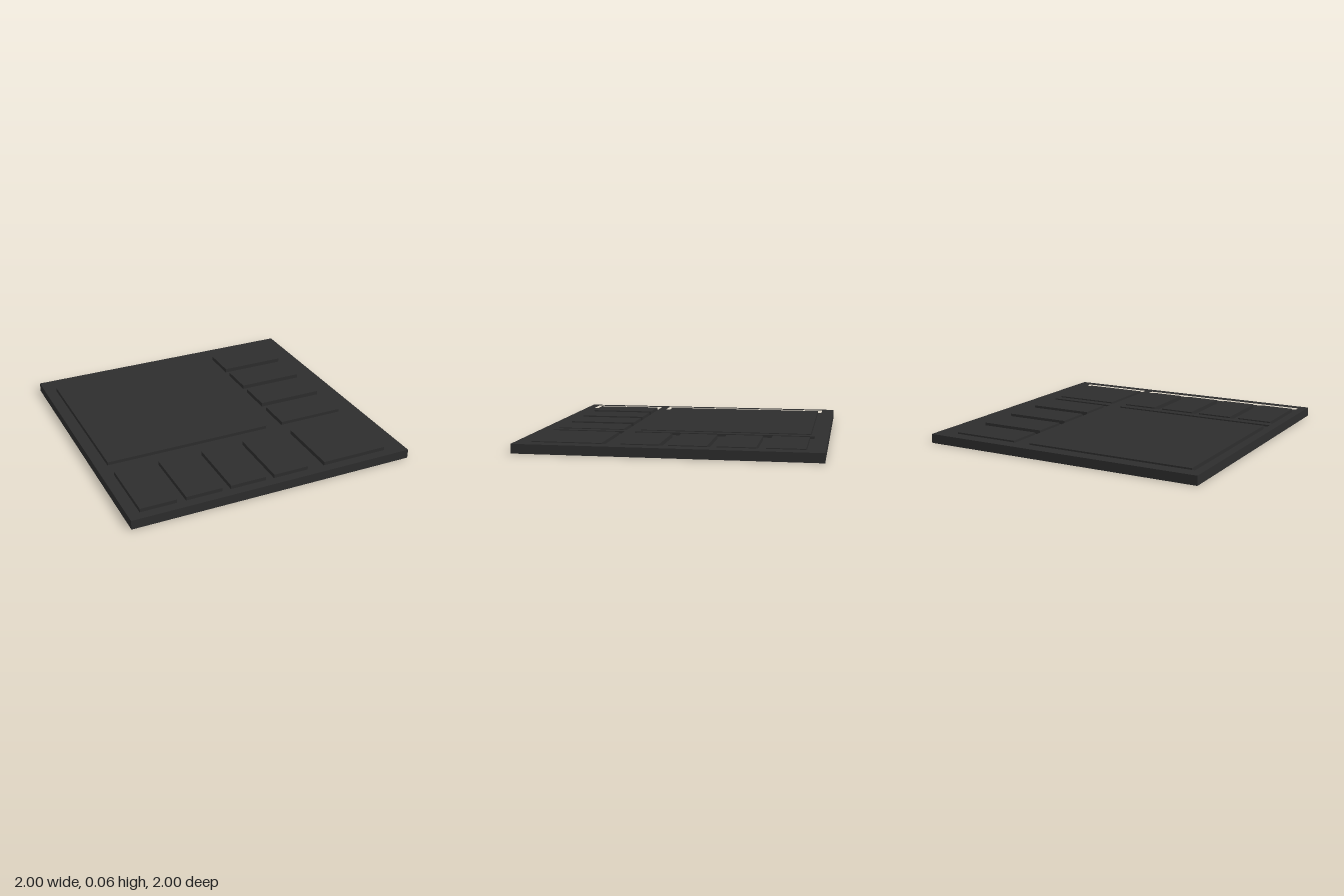
import * as THREE from 'three';

const TOP = 0.063;    // overall height
const FLOOR = 0.035;  // level of the recess floors
const LIP = 0.033;    // groove width between recess wall and panel

// Recesses in plan: [x0, x1, z0, z1, columns, rows]
const RECESSES = {
  main: [-0.94, 0.31, -0.91, 0.34, 1, 1],
  side: [0.37, 0.905, -0.91, 0.34, 1, 4],
  front: [-0.94, 0.31, 0.40, 0.935, 4, 1],
  corner: [0.37, 0.905, 0.40, 0.935, 1, 1],
};

// Closed rectangle in plan; the path's y is -z
function rectangle(path, x0, x1, z0, z1) {
  path.moveTo(x0, -z0);
  path.lineTo(x1, -z0);
  path.lineTo(x1, -z1);
  path.lineTo(x0, -z1);
  path.closePath();
  return path;
}

export function createModel() {
  const group = new THREE.Group();
  group.name = 'panelledTile';
  const charcoal = new THREE.MeshStandardMaterial({ color: 0x2d2d2d });
  charcoal.name = 'charcoal';

  const add = (name, geometry, x = 0, y = 0, z = 0) => {
    const mesh = new THREE.Mesh(geometry, charcoal);
    mesh.name = name;
    mesh.position.set(x, y, z);
    group.add(mesh);
  };

  // Solid slab whose top is the floor of the recesses
  add('base', new THREE.BoxGeometry(2, FLOOR, 2), 0, FLOOR / 2, 0);

  // Frame with one opening for each recess
  const outline = rectangle(new THREE.Shape(), -1, 1, -1, 1);
  for (const [x0, x1, z0, z1] of Object.values(RECESSES)) {
    outline.holes.push(rectangle(new THREE.Path(), x0, x1, z0, z1));
  }
  const frame = new THREE.ExtrudeGeometry(outline, { depth: TOP - FLOOR, bevelEnabled: false });
  frame.rotateX(-Math.PI / 2);
  add('frame', frame, 0, FLOOR, 0);

  // Panels standing in each recess, level with the frame
  const gap = 0.063;
  const height = TOP - FLOOR;
  for (const [name, [x0, x1, z0, z1, columns, rows]] of Object.entries(RECESSES)) {
    const width = (x1 - x0 - 2 * LIP - (columns - 1) * gap) / columns;
    const depth = (z1 - z0 - 2 * LIP - (rows - 1) * gap) / rows;
    for (let i = 0; i < columns; i++) {
      for (let j = 0; j < rows; j++) {
        add(`${name}Panel`, new THREE.BoxGeometry(width, height, depth),
          x0 + LIP + width / 2 + i * (width + gap),
          FLOOR + height / 2,
          z0 + LIP + depth / 2 + j * (depth + gap));
      }
    }
  }
  return group;
}
